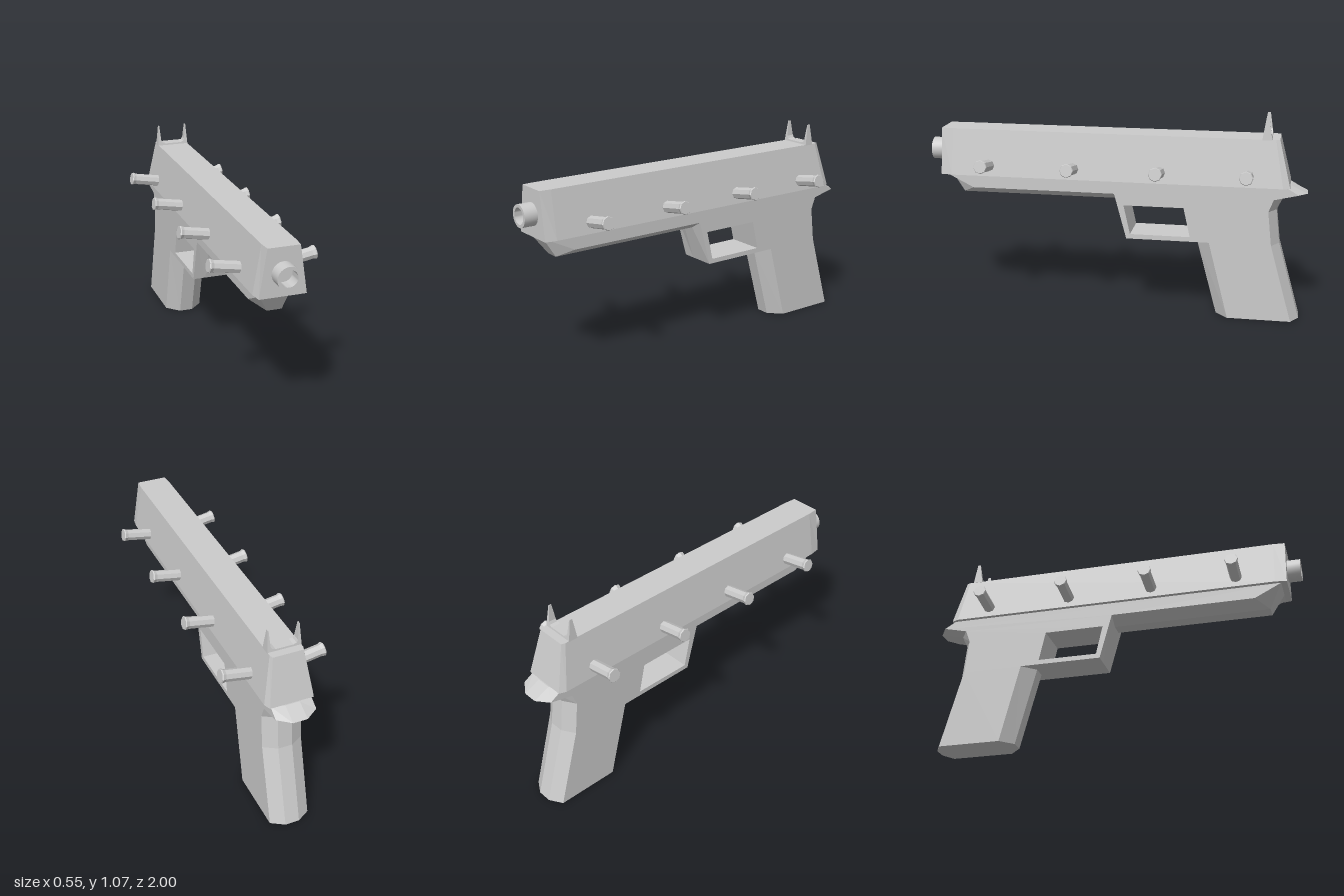
import * as THREE from 'three';
import { toCreasedNormals } from 'three/addons/utils/BufferGeometryUtils.js';

const mat = new THREE.MeshStandardMaterial({ color: 0xcccccc });
const flat = new THREE.MeshStandardMaterial({ color: 0xcccccc, flatShading: true });

function add(parent, name, geometry, material = mat) {
  const mesh = new THREE.Mesh(geometry, material);
  mesh.name = name;
  parent.add(mesh);
  return mesh;
}

// Flat-faced geometry from a list of triangle corners
function fromCorners(corners) {
  const g = new THREE.BufferGeometry().setFromPoints(corners);
  g.computeVertexNormals();
  return g;
}

// Joins successive closed rings of equal length
function band(rings, out) {
  for (let r = 0; r < rings.length - 1; r++) {
    const a = rings[r], b = rings[r + 1];
    for (let i = 0; i < a.length; i++) {
      const j = (i + 1) % a.length;
      out.push(a[i], a[j], b[j], a[i], b[j], b[i]);
    }
  }
}

// Tapered slide, narrowed slightly at both ends
function slideGeometry() {
  // [z at top, z at bottom, half width at top, half width at bottom]
  const rings = [
    [-0.845, -0.905, 0.078, 0.112],
    [-0.825, -0.87, 0.085, 0.126],
    [0.87, 0.87, 0.085, 0.126],
    [0.93, 0.93, 0.08, 0.117],
  ].map(([zt, zb, wt, wb]) => [
    new THREE.Vector3(-wb, 0.72, zb), new THREE.Vector3(wb, 0.72, zb),
    new THREE.Vector3(wt, 0.963, zt), new THREE.Vector3(-wt, 0.963, zt),
  ]);
  const out = [];
  band(rings, out);
  const [b, f] = [rings[0], rings[3]];
  out.push(f[0], f[1], f[2], f[0], f[2], f[3], b[0], b[2], b[1], b[0], b[3], b[2]);
  return fromCorners(out);
}

// Frame, guard and grip: side outline and centre outline joined by chamfers
function frameGeometry() {
  // [side z, side y, centre z, centre y]
  const profile = [
    [0.90, 0.72, 0.90, 0.72], [0.76, 0.65, 0.83, 0.61], [0, 0.65, 0.0, 0.61],
    [-0.065, 0.41, -0.065, 0.41], [-0.50, 0.41, -0.43, 0.41], [-0.605, 0, -0.54, 0],
    [-0.935, 0, -0.975, 0], [-0.82, 0.41, -0.86, 0.41], [-0.80, 0.59, -0.84, 0.59],
    [-0.825, 0.655, -0.87, 0.652], [-0.95, 0.685, -0.995, 0.68], [-0.89, 0.72, -0.91, 0.72],
  ];
  const hole = [[-0.05, 0.59], [-0.365, 0.59], [-0.40, 0.435], [-0.085, 0.435]];
  const W = 0.104, C = 0.037;
  const side = (x) => profile.map((p) => new THREE.Vector3(x, p[1], p[0]));
  const centre = (x) => profile.map((p) => new THREE.Vector3(x, p[3], p[2]));
  const opening = (x) => hole.map(([z, y]) => new THREE.Vector3(x, y, z));
  const out = [];
  band([side(-W), centre(-C), centre(C), side(W)], out);
  band([opening(-W), opening(W)], out);

  // Side faces with the guard opening cut out
  const faces = THREE.ShapeUtils.triangulateShape(
    profile.map((p) => new THREE.Vector2(p[0], p[1])),
    [hole.map(([z, y]) => new THREE.Vector2(z, y))]);
  for (const x of [-W, W]) {
    const pts = [...side(x), ...opening(x)];
    for (const f of faces) {
      const [a, b, c] = f.map((i) => pts[i]);
      const n = b.clone().sub(a).cross(c.clone().sub(a));
      out.push(a, ...(n.x * x > 0 ? [b, c] : [c, b]));
    }
  }
  return fromCorners(out);
}

// U-shaped rear sight with two horns that thin towards the tips
function sightGeometry() {
  const half = [[0.087, 0.96], [0.08, 1.073], [0.076, 1.073], [0.069, 0.99], [0.062, 0.977], [0.045, 0.972]];
  const mirrored = half.map(([x, y]) => [-x, y]).reverse();
  const shape = new THREE.Shape([...half, ...mirrored].map(([x, y]) => new THREE.Vector2(x, y)));
  const g = new THREE.ExtrudeGeometry(shape, { depth: 0.05, bevelEnabled: false });
  g.translate(0, 0, -0.025);
  const p = g.attributes.position;
  for (let i = 0; i < p.count; i++) {
    p.setZ(i, p.getZ(i) * (1 - 0.7 * (p.getY(i) - 0.96) / 0.113));
  }
  g.translate(0, 0, -0.78);
  g.computeVertexNormals();
  return g;
}

function lathe(points, sides) {
  return new THREE.LatheGeometry(points.map(([r, y]) => new THREE.Vector2(r, y)), sides);
}

export function createModel() {
  const model = new THREE.Group();
  model.name = 'model';
  add(model, 'slide', slideGeometry());
  add(model, 'frame', frameGeometry());
  add(model, 'rearSight', sightGeometry());

  // Hollow barrel end
  const tube = lathe([[0.058, -0.02], [0.058, 0.07], [0.042, 0.07], [0.042, 0.002], [0, 0.002]], 32);
  const barrel = add(model, 'barrel', toCreasedNormals(tube, 0.6));
  barrel.rotation.x = Math.PI / 2;
  barrel.position.set(0, 0.835, 0.93);

  // Four flared side pegs on each side, tilted upward
  const pegShape = lathe([[0, 0], [0.031, 0], [0.031, 0.172], [0.036, 0.188], [0.033, 0.193], [0, 0.193]], 8);
  const pegs = new THREE.Group();
  pegs.name = 'sidePegs';
  model.add(pegs);
  for (const s of [1, -1]) {
    for (const z of [0.67, 0.217, -0.237, -0.69]) {
      const peg = add(pegs, s > 0 ? 'leftPeg' : 'rightPeg', pegShape, flat);
      peg.position.set(s * 0.08, 0.77, z);
      peg.rotation.z = -s * THREE.MathUtils.degToRad(80);
    }
  }
  return model;
}
